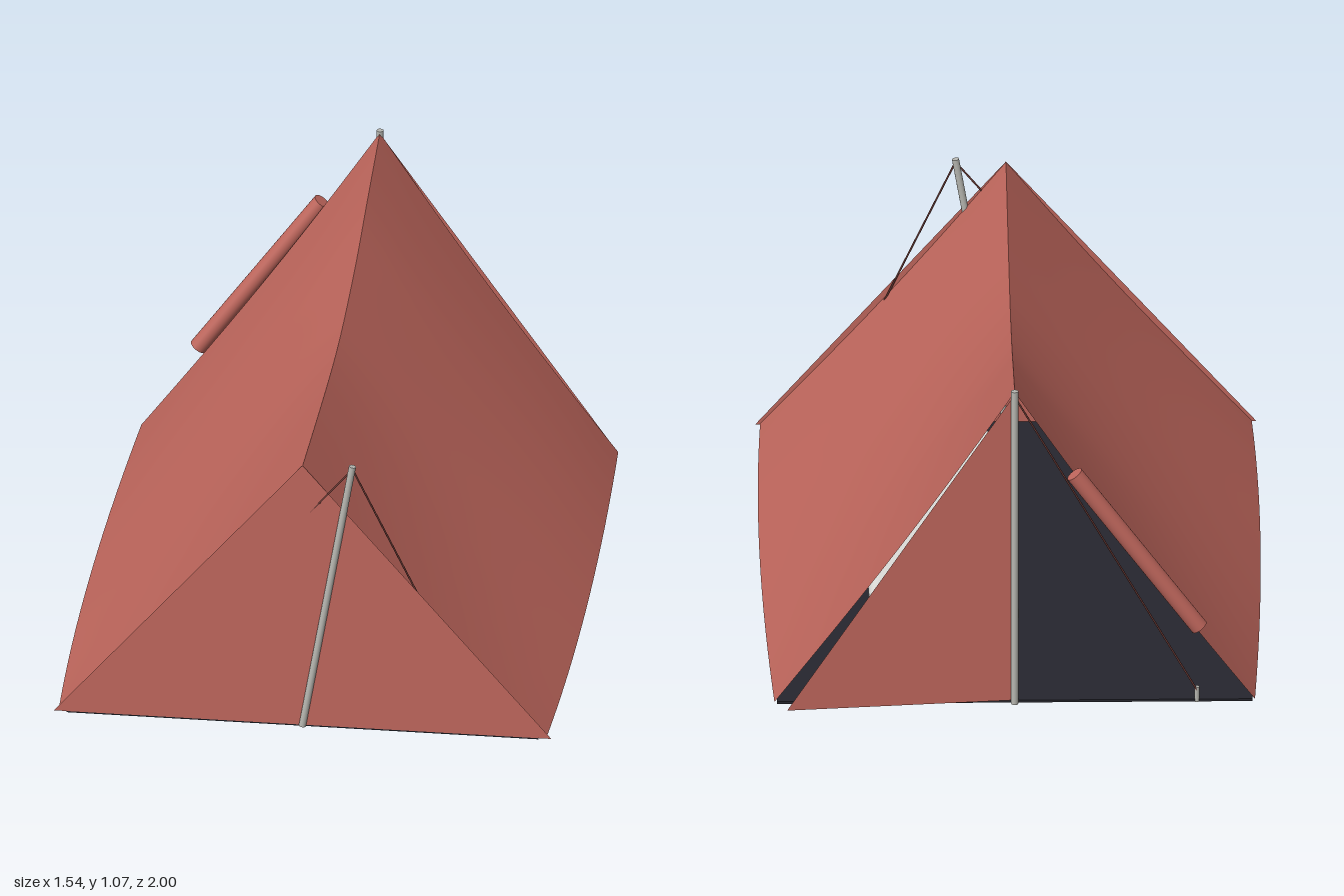
import * as THREE from 'three';
import { RoundedBoxGeometry } from 'three/addons/geometries/RoundedBoxGeometry.js';

const V = (x, y, z) => new THREE.Vector3(x, y, z);

export function createModel() {
  const tent = new THREE.Group();
  tent.name = 'tent';

  const material = (name, color, side = THREE.FrontSide) => {
    const m = new THREE.MeshStandardMaterial({ color, side });
    m.name = name;
    return m;
  };
  const canvas = material('red canvas', 0xc0675d, THREE.DoubleSide);
  const metal = material('grey metal', 0xb8b8b2);
  const cord = material('dark cord', 0x6b3a35);
  const groundsheet = material('dark groundsheet', 0x26262e);
  const foam = material('pale foam', 0xdededa);

  const add = (name, geometry, mat) => {
    const mesh = new THREE.Mesh(geometry, mat);
    mesh.name = name;
    tent.add(mesh);
    return mesh;
  };

  // Round bar between two points
  const bar = (name, a, b, radius, mat, sides = 12) => {
    const mesh = add(name, new THREE.CylinderGeometry(radius, radius, a.distanceTo(b), sides), mat);
    mesh.position.copy(a).lerp(b, 0.5);
    mesh.quaternion.setFromUnitVectors(V(0, 1, 0), b.clone().sub(a).normalize());
    return mesh;
  };

  // Flat triangular cloth
  const triangle = (name, a, b, c) => {
    const g = new THREE.BufferGeometry().setFromPoints([a, b, c]);
    g.computeVertexNormals();
    return add(name, g, canvas);
  };

  // Sagging ridge line and gently bowed hem, back to front
  const ridge = new THREE.CatmullRomCurve3([
    V(0, 1.065, -0.93), V(0, 0.985, -0.6), V(0, 0.925, -0.37), V(0, 0.887, -0.15),
    V(0, 0.864, 0.06), V(0, 0.86, 0.24), V(0, 0.873, 0.56), V(0, 0.9, 0.985),
  ]);
  const hem = new THREE.QuadraticBezierCurve3(V(0.738, 0.008, -0.93), V(0.793, 0.008, 0.15), V(0.755, 0.008, 0.985));

  // Roof slopes, slightly drawn in between ridge and hem
  const slope = (side) => {
    const g = new THREE.PlaneGeometry(1, 1, 40, 12);
    const pos = g.attributes.position;
    for (let i = 0; i < pos.count; i++) {
      const u = pos.getX(i) + 0.5;
      const t = 0.5 - pos.getY(i);
      const p = ridge.getPoint(u).lerp(hem.getPoint(u), t);
      const sag = 0.012 * Math.sin(Math.PI * t);
      pos.setXYZ(i, side * (p.x - sag), p.y - sag * 0.5, p.z);
    }
    // Reverse corners on the right so both slopes face outwards
    if (side > 0) {
      const index = g.index.array;
      for (let i = 0; i < index.length; i += 3) [index[i], index[i + 1]] = [index[i + 1], index[i]];
    }
    g.computeVertexNormals();
    return g;
  };
  add('leftRoof', slope(1), canvas);
  add('rightRoof', slope(-1), canvas);

  // Closed front wall
  triangle('frontWall', V(-0.77, 0.005, 0.985), V(0.77, 0.005, 0.985), V(0, 0.902, 0.985));

  // Back door: one flap hanging slightly open, the other rolled up
  triangle('doorFlap', V(0, 1.06, -0.935), V(0.7, 0.012, -0.998), V(0, 0.012, -0.935));
  bar('rolledDoor', V(-0.567, 0.272, -0.963), V(-0.183, 0.8, -0.963), 0.027, canvas, 24);

  // Poles
  bar('backPole', V(0, 0, -0.935), V(0, 1.072, -0.935), 0.011, metal);
  bar('frontPole', V(0, 0.003, 0.988), V(0.155, 0.91, 0.988), 0.011, metal);

  // Guy lines from the leaning front pole
  const poleTop = V(0.155, 0.9, 0.988);
  bar('leftGuyLine', poleTop, V(0.385, 0.41, 0.97), 0.003, cord, 6);
  bar('rightGuyLine', poleTop, V(-0.2, 0.47, 0.972), 0.003, cord, 6);

  // Cord and pegs beside the doorway
  bar('doorCord', V(0, 1.05, -0.93), V(-0.56, 0.04, -0.93), 0.003, cord, 6);
  for (const side of [-1, 1]) {
    bar('peg', V(side * 0.56, 0, -0.925), V(side * 0.56, 0.05, -0.925), 0.008, metal, 8);
  }

  // Groundsheet and sleeping pad
  add('groundsheet', new THREE.BoxGeometry(1.46, 0.008, 1.915), groundsheet).position.set(0, 0.005, 0.0275);
  add('sleepingPad', new RoundedBoxGeometry(0.46, 0.08, 1.25, 4, 0.035), foam).position.set(0.21, 0.048, 0.165);

  return tent;
}
